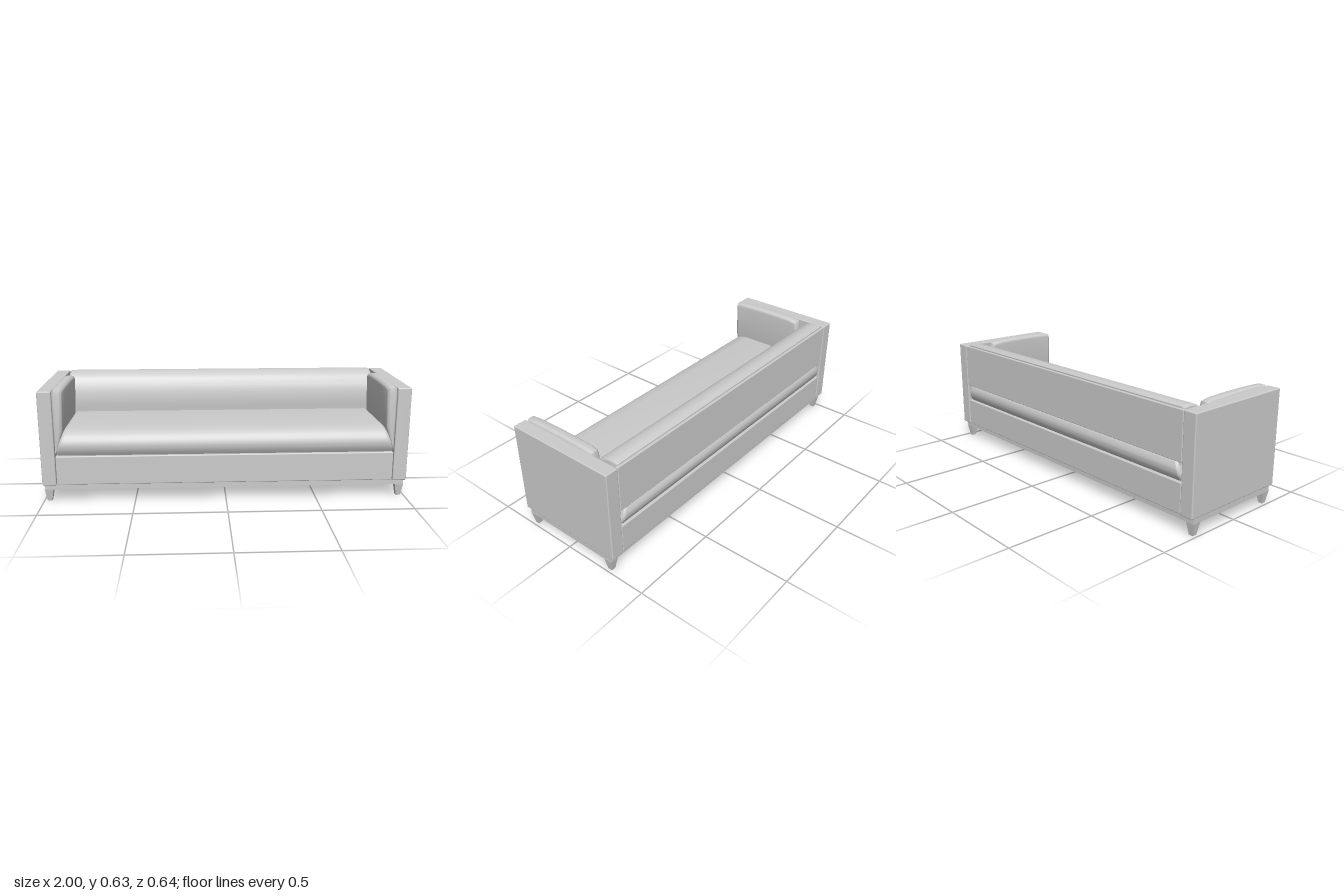
import * as THREE from 'three';
import { toCreasedNormals } from 'three/addons/utils/BufferGeometryUtils.js';
import { RoundedBoxGeometry } from 'three/addons/geometries/RoundedBoxGeometry.js';

const material = new THREE.MeshStandardMaterial({ color: 0xcccccc });

export function createModel() {
  const sofa = new THREE.Group();
  sofa.name = 'sofa';

  function add(name, geometry) {
    const mesh = new THREE.Mesh(geometry, material);
    mesh.name = name;
    sofa.add(mesh);
    return mesh;
  }

  // Box given by its limits, with softly rounded edges when r > 0
  function slab(name, [x0, x1], [y0, y1], [z0, z1], r = 0) {
    const size = [x1 - x0, y1 - y0, z1 - z0];
    const geometry = r ? new RoundedBoxGeometry(...size, 3, r) : new THREE.BoxGeometry(...size);
    geometry.translate((x0 + x1) / 2, (y0 + y1) / 2, (z0 + z1) / 2);
    return add(name, geometry);
  }

  // Side profile of [z, y] points swept from x0 to x1 with rounded ends;
  // rule(x, y) gives the new x of each vertex
  function cushion(name, profile, x0, x1, bevel, rule = (x) => x) {
    const shape = new THREE.Shape(profile.map(([z, y]) => new THREE.Vector2(-z, y)));
    const geometry = new THREE.ExtrudeGeometry(shape, {
      depth: x1 - x0 - 2 * bevel, bevelEnabled: true, bevelThickness: bevel,
      bevelSize: bevel, bevelOffset: -bevel, bevelSegments: 6,
    });
    geometry.rotateY(Math.PI / 2).translate(x0 + bevel, 0, 0);
    const p = geometry.attributes.position;
    for (let i = 0; i < p.count; i++) p.setX(i, rule(p.getX(i), p.getY(i)));
    return add(name, toCreasedNormals(geometry, 0.6));
  }

  const smooth = (points, n) => new THREE.SplineCurve(points.map(([z, y]) => new THREE.Vector2(z, y)))
    .getPoints(n).map((v) => [v.x, v.y]);

  // Upholstered base and back panel
  slab('seatBase', [-0.922, 0.922], [0.1, 0.26], [-0.314, 0.313], 0.005);
  slab('backPanel', [-0.922, 0.922], [0.36, 0.617], [-0.317, -0.3], 0.004);

  // Seat cushion: bulging front and back edges, ends narrowing upward
  const edge = smooth([[0.3, 0.262], [0.317, 0.295], [0.321, 0.33], [0.305, 0.366], [0.27, 0.39], [0.22, 0.4]], 16);
  const seatProfile = [...edge, ...edge.map(([z, y]) => [-z, y]).reverse()];
  cushion('seatCushion', seatProfile, -0.92, 0.92, 0.02,
    (x, y) => x * (1 - 0.045 * THREE.MathUtils.clamp((y - 0.28) / 0.12, 0, 1)));

  // Back cushion: rounded top and gently bulging front
  const backProfile = [[-0.304, 0.34], [-0.15, 0.34],
    ...smooth([[-0.149, 0.4], [-0.145, 0.47], [-0.155, 0.54], [-0.18, 0.595], [-0.215, 0.621], [-0.26, 0.63], [-0.304, 0.624]], 24)];
  cushion('backCushion', backProfile, -0.912, 0.908, 0.015);

  for (const side of [-1, 1]) {
    const label = side > 0 ? 'left' : 'right';
    const span = (a, b) => (side > 0 ? [a, b] : [-b, -a]);

    // Slab arm
    slab(label + 'Arm', span(0.924, 1), [0.098, 0.619], [-0.318, 0.318], 0.006);

    // Arm cushion: domed top, lower part squeezed against the arm
    const armProfile = [[-0.15, 0.28], [0.312, 0.28], [0.316, 0.4], [0.317, 0.59],
      ...smooth([[0.312, 0.619], [0.26, 0.626], [0.1, 0.63], [-0.08, 0.627], [-0.145, 0.617]], 16),
      [-0.153, 0.59], [-0.153, 0.4]];
    const [x0, x1] = span(0.868, 0.926);
    cushion(label + 'ArmCushion', armProfile, x0, x1, 0.02, (x, y) => {
      const t = THREE.MathUtils.clamp((0.42 - y) / 0.13, 0, 1);
      return THREE.MathUtils.lerp(x, side * 0.922, 0.85 * t);
    });

    // Side rail of the plinth
    slab(label + 'Rail', span(0.957, 0.992), [0.065, 0.1], [-0.297, 0.297]);

    // Tapered square legs
    for (const end of [-1, 1]) {
      const leg = new THREE.CylinderGeometry(0.048 / Math.SQRT2, 0.025 / Math.SQRT2, 0.07, 4, 1)
        .rotateY(Math.PI / 4).toNonIndexed();
      leg.computeVertexNormals();
      leg.translate(side * 0.97, 0.035, end * 0.273);
      add(label + (end > 0 ? 'FrontLeg' : 'BackLeg'), leg);
    }
  }

  // Front and back rails of the plinth, and the recessed underside
  slab('frontRail', [-0.96, 0.96], [0.068, 0.1], [0.262, 0.297]);
  slab('backRail', [-0.96, 0.96], [0.068, 0.1], [-0.297, -0.262]);
  slab('underside', [-0.96, 0.96], [0.09, 0.104], [-0.27, 0.27]);

  return sofa;
}
